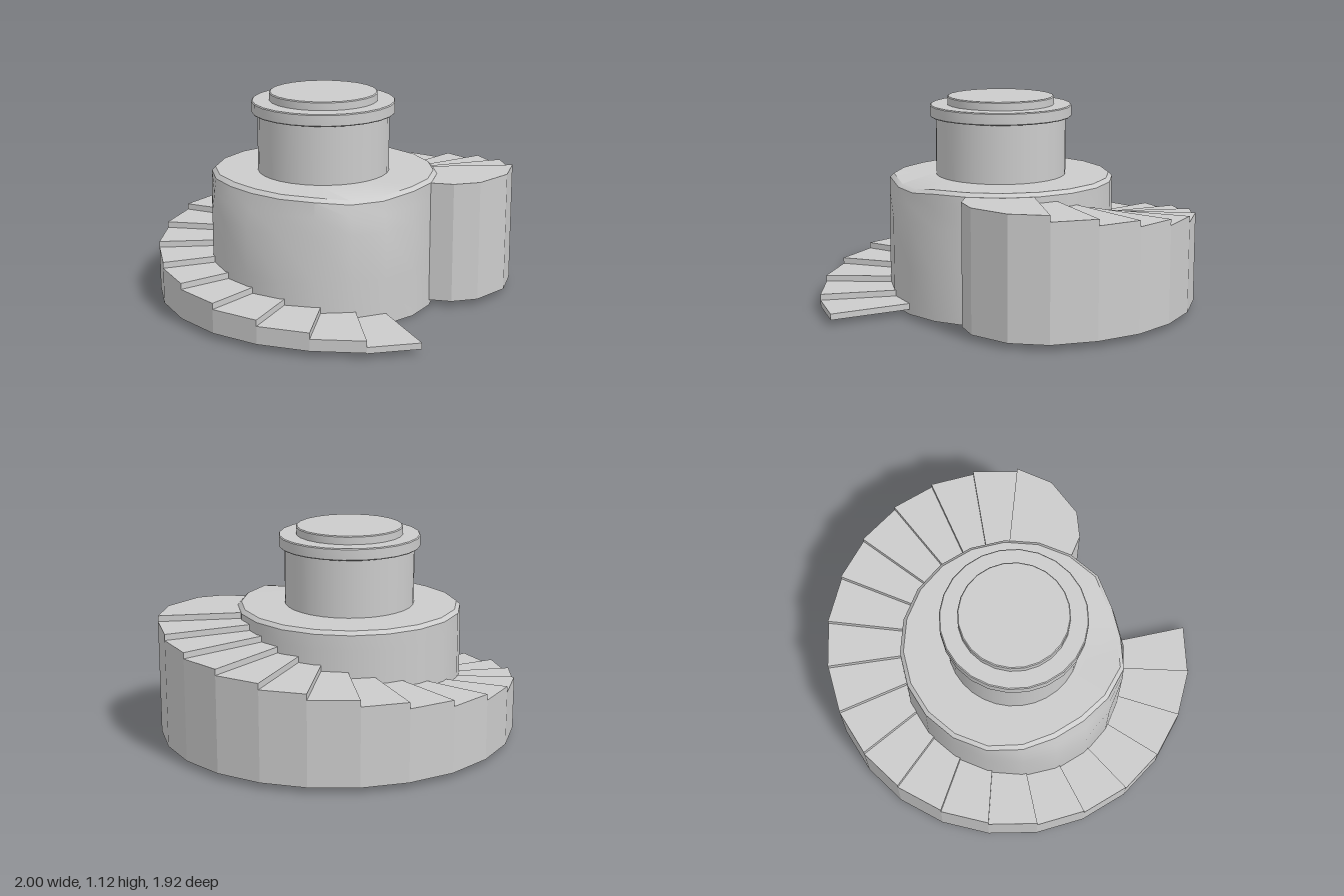
import * as THREE from 'three';
import { toCreasedNormals } from 'three/addons/utils/BufferGeometryUtils.js';

const CX = -0.09, CZ = -0.01; // axis of the round tower
const material = new THREE.MeshStandardMaterial({ color: 0xcccccc, side: THREE.DoubleSide });

// Outer corners of the stair [x, z], from the lowest step up to the landing
const corners = [
  [-0.49, 0.96], [-0.71, 0.79], [-0.87, 0.56], [-0.97, 0.3], [-1, 0.03],
  [-0.955, -0.24], [-0.845, -0.485], [-0.675, -0.69], [-0.46, -0.845], [-0.21, -0.94],
  [0.045, -0.965], [0.305, -0.925], [0.54, -0.815], [0.735, -0.655], [0.885, -0.44],
  [0.97, -0.21], [0.995, 0.04], [0.955, 0.28], [0.85, 0.5], [0.69, 0.69],
];
const landingEdge = [[0.69, 0.69], [0.5, 0.78], [0.27, 0.765], [0.15, 0.68], [0.095, 0.57], [0.08, 0.48]];
const BASE = 0.03, RISE = 0.0326, THICK = 0.033;

function addMesh(parent, name, geometry) {
  const mesh = new THREE.Mesh(geometry, material);
  mesh.name = name;
  parent.add(mesh);
  return mesh;
}

// Inner end of a step edge, just inside the tower wall
function innerPoint([x, z]) {
  const ox = 0.03, oz = 0, R = 0.53;
  const len = Math.hypot(x - ox, z - oz);
  const dx = (x - ox) / len, dz = (z - oz) / len;
  const ax = ox - CX, az = oz - CZ, b = ax * dx + az * dz;
  const t = -b + Math.sqrt(b * b + R * R - ax * ax - az * az);
  return [ox + dx * t, oz + dz * t];
}

// Flat slab with an outline in x, z
function slab(outline, top) {
  const shape = new THREE.Shape(outline.map(([x, z]) => new THREE.Vector2(x, -z)));
  const geometry = new THREE.ExtrudeGeometry(shape, { depth: THICK, bevelEnabled: false });
  return geometry.rotateX(-Math.PI / 2).translate(0, top - THICK, 0);
}

// Thin upright panel between two ground points
function panel([x0, z0], [x1, z1], top) {
  const geometry = new THREE.BufferGeometry();
  geometry.setAttribute('position', new THREE.Float32BufferAttribute([
    x0, BASE, z0, x0, top, z0, x1, top, z1, x0, BASE, z0, x1, top, z1, x1, BASE, z1], 3));
  geometry.computeVertexNormals();
  return geometry;
}

function lathe(profile, sides) {
  return new THREE.LatheGeometry(profile.map(([r, y]) => new THREE.Vector2(r, y)), sides);
}

// Bell-shaped weight around an angle in degrees
function bump(angle, centre, width) {
  const t = Math.abs(angle - centre) / width;
  return t < 1 ? 0.5 + 0.5 * Math.cos(Math.PI * t) : 0;
}

// Drum open below, with its upper rim pressed in at the left and front
function drumGeometry() {
  const geometry = lathe([[0.61, 0], [0.61, 0.25], [0.61, 0.5], [0.61, 0.6], [0.61, 0.68], [0.59, 0.7], [0.36, 0.7], [0, 0.7]], 20);
  const p = geometry.attributes.position;
  for (let i = 0; i < p.count; i++) {
    const x = p.getX(i), y = p.getY(i), z = p.getZ(i);
    if (y < 0.55 || Math.hypot(x, z) < 0.5) continue;
    const angle = THREE.MathUtils.radToDeg(Math.atan2(x, z));
    const height = (y - 0.5) / 0.2;
    const side = bump(angle, -98, 55), front = bump(angle, -27, 30);
    const shrink = 1 - height * (0.085 * side + 0.07 * front);
    p.setXYZ(i, x * shrink, y - 0.035 * front * height, z * shrink);
  }
  return toCreasedNormals(geometry, 0.55);
}

export function createModel() {
  const model = new THREE.Group();
  model.name = 'spiralStairTower';

  // Tower: drum, neck, rim and lid
  const tower = new THREE.Group();
  tower.name = 'tower';
  tower.position.set(CX, 0, CZ);
  model.add(tower);
  addMesh(tower, 'drum', drumGeometry());
  addMesh(tower, 'neck', new THREE.CylinderGeometry(0.353, 0.353, 0.34, 32, 1, true).translate(0, 0.86, 0));
  addMesh(tower, 'rim', toCreasedNormals(
    lathe([[0.35, 1.015], [0.38, 1.015], [0.385, 1.02], [0.385, 1.075], [0.38, 1.08], [0.28, 1.08]], 24), 0.55));
  addMesh(tower, 'lid', toCreasedNormals(
    lathe([[0.29, 1.07], [0.29, 1.12], [0.285, 1.125], [0, 1.125]], 24), 0.55));

  // Treads climbing round the drum, each with its outer wall panel
  const stair = new THREE.Group();
  stair.name = 'stair';
  model.add(stair);
  for (let i = 0; i < corners.length - 1; i++) {
    const a = corners[i], b = corners[i + 1], top = 0.06 + i * RISE;
    addMesh(stair, 'tread', slab([a, b, innerPoint(b), innerPoint(a)], top));
    if (i > 0) addMesh(stair, 'outerWall', panel(a, b, top - THICK));
  }

  // Landing at the top with its curved end wall
  const landingTop = 0.06 + (corners.length - 1) * RISE;
  addMesh(stair, 'landing', slab([...landingEdge, innerPoint(landingEdge[0])], landingTop));
  for (let i = 0; i < landingEdge.length - 1; i++) {
    addMesh(stair, 'landingWall', panel(landingEdge[i], landingEdge[i + 1], landingTop - THICK));
  }
  return model;
}
